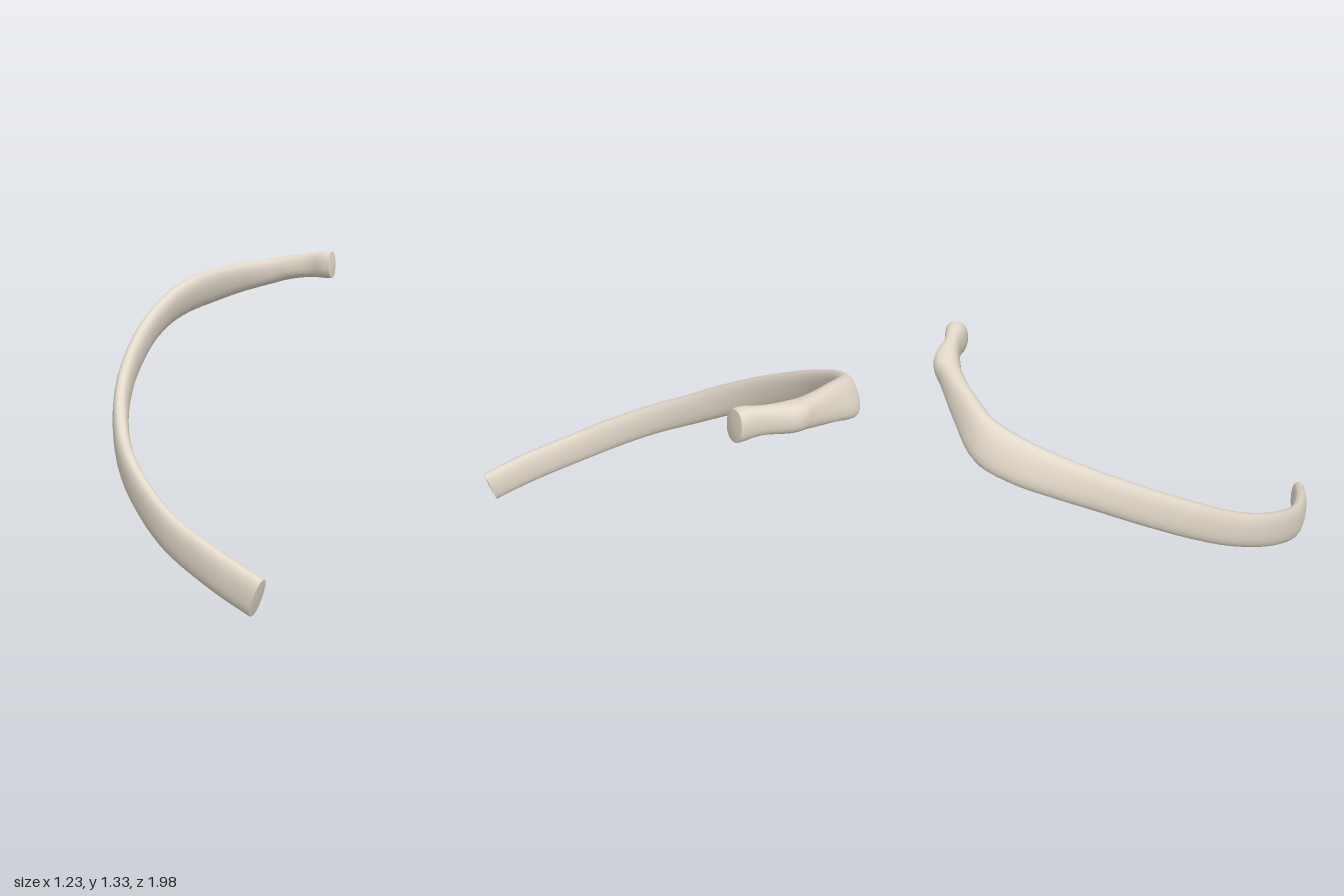
import * as THREE from 'three';

// Stations along the bone: x, y, z, height, thickness, inward lean (radians)
const STATIONS = [
  [-0.08, 0.095, 0.957, 0.178, 0.075, 0.0],
  [-0.23, 0.165, 0.81, 0.18, 0.075, 0.0],
  [-0.395, 0.255, 0.6, 0.175, 0.07, 0.0],
  [-0.497, 0.355, 0.4, 0.17, 0.07, 0.0],
  [-0.558, 0.455, 0.2, 0.165, 0.072, 0.0],
  [-0.575, 0.555, 0.0, 0.162, 0.076, 0.0],
  [-0.56, 0.67, -0.2, 0.165, 0.076, 0.0],
  [-0.51, 0.788, -0.4, 0.165, 0.076, 0.05],
  [-0.425, 0.905, -0.6, 0.165, 0.08, 0.12],
  [-0.34, 0.985, -0.74, 0.175, 0.085, 0.22],
  [-0.23, 1.055, -0.86, 0.19, 0.09, 0.32],
  [-0.1, 1.11, -0.925, 0.195, 0.092, 0.38],
  [0.1, 1.175, -0.905, 0.165, 0.085, 0.3],
  [0.3, 1.222, -0.853, 0.135, 0.098, 0.1],
  [0.39, 1.243, -0.82, 0.128, 0.115, 0.0],
  [0.49, 1.26, -0.738, 0.125, 0.075, 0.0],
  [0.555, 1.267, -0.683, 0.142, 0.095, 0.0],
  [0.588, 1.268, -0.66, 0.14, 0.1, 0.0],
];
const RINGS = 96, SIDES = 24;

function createBoneGeometry() {
  const path = new THREE.CatmullRomCurve3(STATIONS.map(s => new THREE.Vector3(s[0], s[1], s[2])), false, 'centripetal');
  const sizes = new THREE.CatmullRomCurve3(STATIONS.map(s => new THREE.Vector3(s[3], s[4], s[5])), false, 'catmullrom', 0.5);
  const worldUp = new THREE.Vector3(0, 1, 0);
  const positions = [], index = [];

  // Rounded oval cross-sections swept along the curve
  for (let i = 0; i <= RINGS; i++) {
    const u = i / RINGS;
    const c = path.getPoint(u), t = path.getTangent(u), size = sizes.getPoint(u);
    const inward = new THREE.Vector3().crossVectors(t, worldUp).normalize();
    const up = new THREE.Vector3().crossVectors(inward, t).normalize();
    up.applyAxisAngle(t, size.z);
    inward.applyAxisAngle(t, size.z);
    for (let j = 0; j < SIDES; j++) {
      const a = j / SIDES * Math.PI * 2;
      const soft = v => Math.sign(v) * Math.pow(Math.abs(v), 0.85);
      const p = c.clone()
        .addScaledVector(inward, soft(Math.cos(a)) * size.y / 2)
        .addScaledVector(up, soft(Math.sin(a)) * size.x / 2);
      positions.push(p.x, p.y, p.z);
    }
  }
  for (let i = 0; i < RINGS; i++) {
    for (let j = 0; j < SIDES; j++) {
      const a = i * SIDES + j, b = i * SIDES + (j + 1) % SIDES;
      index.push(a, b, a + SIDES, b, b + SIDES, a + SIDES);
    }
  }

  // End faces with their own vertices, so the rims stay crisp
  for (const last of [false, true]) {
    const ring = (last ? RINGS : 0) * SIDES;
    const c = path.getPoint(last ? 1 : 0).addScaledVector(path.getTangent(last ? 1 : 0), last ? 0.012 : -0.006);
    const centre = positions.length / 3;
    positions.push(c.x, c.y, c.z, ...positions.slice(ring * 3, (ring + SIDES) * 3));
    for (let j = 0; j < SIDES; j++) {
      const a = centre + 1 + j, b = centre + 1 + (j + 1) % SIDES;
      index.push(centre, ...(last ? [a, b] : [b, a]));
    }
  }

  const geometry = new THREE.BufferGeometry();
  geometry.setAttribute('position', new THREE.Float32BufferAttribute(positions, 3));
  // The section runs from inward to up, clockwise about the tangent's reverse
  geometry.setIndex(index);
  geometry.computeVertexNormals();
  return geometry;
}

export function createModel() {
  const group = new THREE.Group();
  group.name = 'rib';
  const material = new THREE.MeshStandardMaterial({ color: 0xe3d9ca, side: THREE.DoubleSide });
  const bone = new THREE.Mesh(createBoneGeometry(), material);
  bone.name = 'ribBone';
  group.add(bone);
  return group;
}
